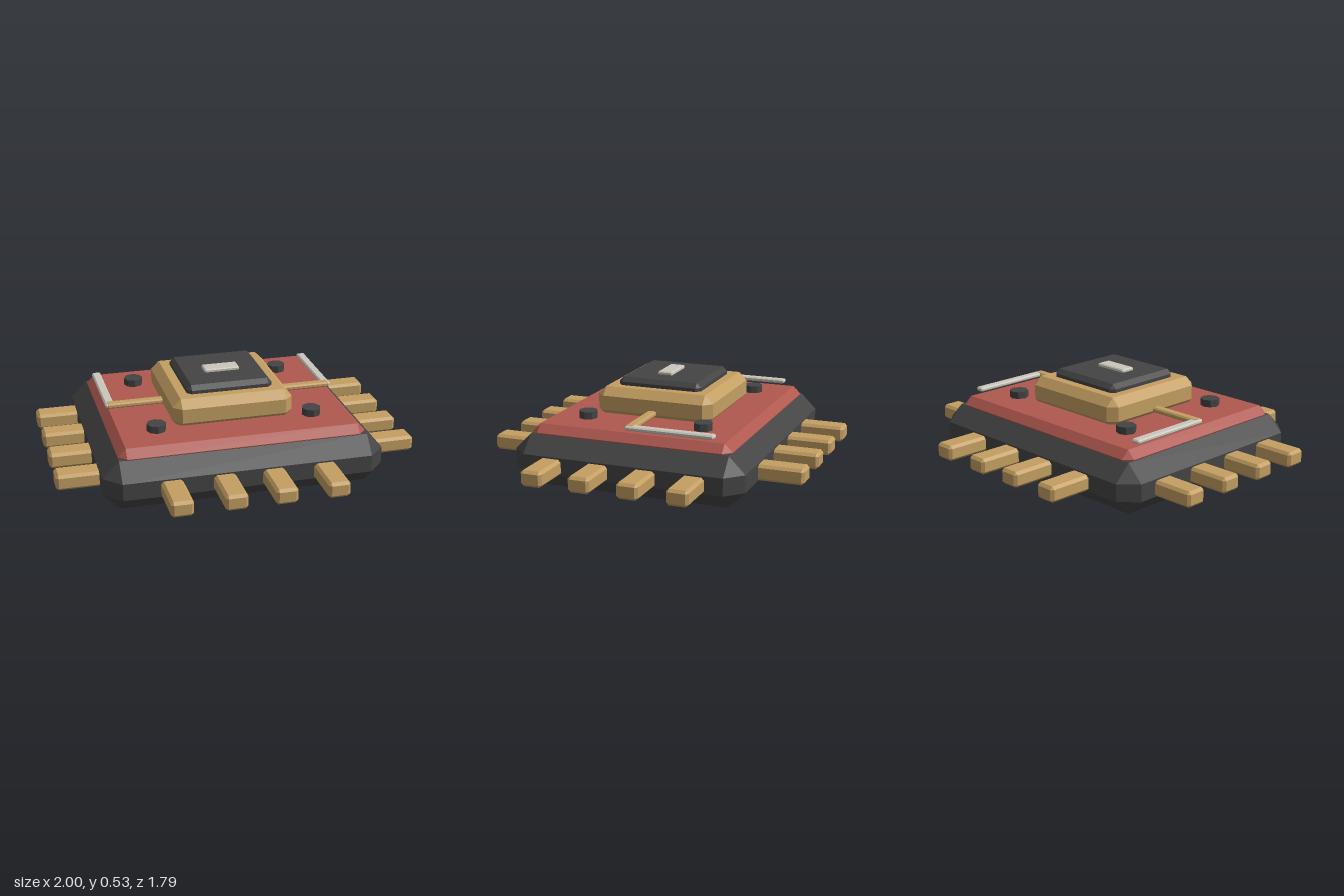
import * as THREE from 'three';
import { ConvexGeometry } from 'three/addons/geometries/ConvexGeometry.js';

const material = (name, color) => {
  const m = new THREE.MeshStandardMaterial({ color });
  m.name = name;
  return m;
};

// Box with single-step chamfers on every edge, given by its min and max corners
function chamferBox(min, max, bevel) {
  const half = max.map((v, i) => (v - min[i]) / 2);
  const points = [];
  for (const sx of [-1, 1]) for (const sy of [-1, 1]) for (const sz of [-1, 1]) {
    for (let axis = 0; axis < 3; axis++) {
      const [x, y, z] = half.map((h, i) => (i === axis ? h : h - bevel));
      points.push(new THREE.Vector3(sx * x, sy * y, sz * z));
    }
  }
  const geometry = new ConvexGeometry(points);
  geometry.translate(...max.map((v, i) => (v + min[i]) / 2));
  return geometry;
}

export function createModel() {
  const dark = material('charcoal', 0x444444);
  const gold = material('gold', 0xc49f62);
  const red = material('red', 0xb0584f);
  const silver = material('silver', 0xcbc7bb);

  const model = new THREE.Group();
  model.name = 'microchip';
  const add = (name, geometry, mat) => {
    const mesh = new THREE.Mesh(geometry, mat);
    mesh.name = name;
    model.add(mesh);
    return mesh;
  };
  const block = (name, min, max, bevel, mat) => add(name, chamferBox(min, max, bevel), mat);

  // Stacked layers
  block('body', [-0.77, 0, -0.65], [0.77, 0.275, 0.65], 0.09, dark);
  block('circuitBoard', [-0.68, 0.235, -0.565], [0.68, 0.325, 0.565], 0.043, red);
  block('heatSpreader', [-0.335, 0.3, -0.335], [0.335, 0.47, 0.335], 0.045, gold);
  block('core', [-0.24, 0.445, -0.24], [0.24, 0.514, 0.24], 0.025, dark);
  block('coreLabel', [-0.1, 0.505, -0.026], [0.1, 0.531, 0.06], 0.006, silver);

  // Traces running out to both sides, with a silver strip at each end
  for (const s of [-1, 1]) {
    const side = s > 0 ? 'left' : 'right';
    const span = (a, b) => [Math.min(s * a, s * b), Math.max(s * a, s * b)];
    const [t0, t1] = span(0.3, 0.648);
    block(side + 'Trace', [t0, 0.337, -0.025], [t1, 0.366, 0.027], 0.008, gold);
    const [b0, b1] = span(0.607, 0.657);
    block(side + 'Strip', [b0, 0.34, -0.468], [b1, 0.364, 0.024], 0.007, silver);
  }

  // Corner studs
  for (const x of [-0.435, 0.435]) for (const z of [-0.333, 0.333]) {
    const stud = add('stud', new THREE.CylinderGeometry(0.053, 0.053, 0.05, 8), dark);
    stud.material.flatShading = true;
    stud.position.set(x, 0.34, z);
  }

  // Contact pins on all four edges
  const y0 = 0.09, y1 = 0.177, w = 0.06, bevel = 0.015;
  for (const s of [-1, 1]) {
    for (const x of [-0.42, -0.137, 0.13, 0.413]) {
      const [a, b] = s > 0 ? [0.6, 0.897] : [-0.897, -0.6];
      block(s > 0 ? 'frontPin' : 'backPin', [x - w, y0, a], [x + w, y1, b], bevel, gold);
    }
    for (const z of [-0.4, -0.133, 0.133, 0.4]) {
      const [a, b] = s > 0 ? [0.7, 1] : [-1, -0.7];
      block(s > 0 ? 'leftPin' : 'rightPin', [a, y0, z - w], [b, y1, z + w], bevel, gold);
    }
  }
  return model;
}
